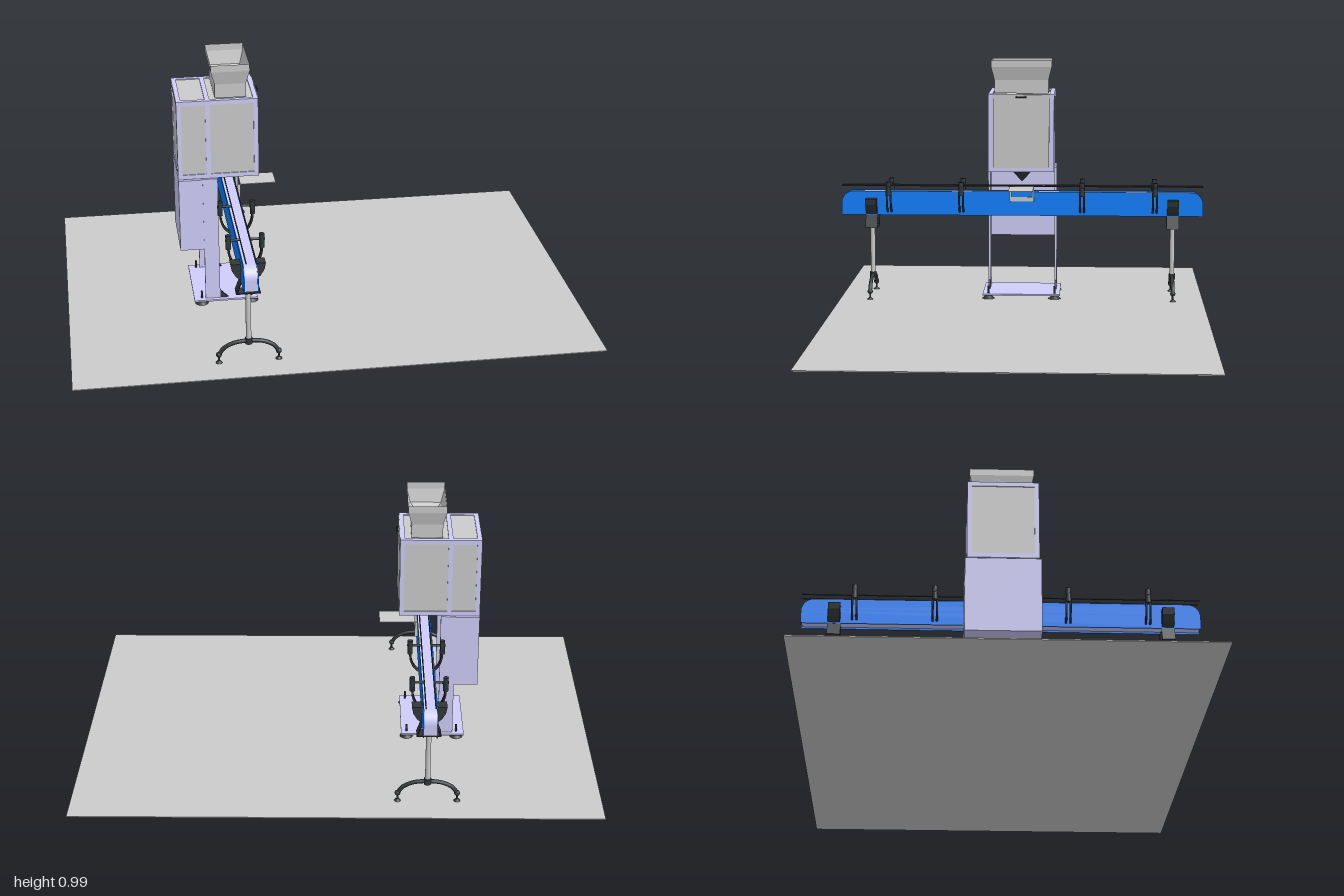
import * as THREE from 'three';

const mat = (color) => new THREE.MeshStandardMaterial({ color, side: THREE.DoubleSide });
const grey = mat(0xcccccc), lavender = mat(0xd0cefa), blue = mat(0x1080ff), black = mat(0x32383a);
const CX = -0.343; // conveyor centre line

function add(parent, name, geometry, material, x = 0, y = 0, z = 0) {
  const mesh = new THREE.Mesh(geometry, material);
  mesh.name = name;
  mesh.position.set(x, y, z);
  parent.add(mesh);
  return mesh;
}

// Box given by its limits on each axis
function block(parent, name, material, x0, x1, y0, y1, z0, z1) {
  return add(parent, name, new THREE.BoxGeometry(x1 - x0, y1 - y0, z1 - z0), material,
    (x0 + x1) / 2, (y0 + y1) / 2, (z0 + z1) / 2);
}

function rod(parent, name, material, r, a, b) {
  const path = new THREE.LineCurve3(new THREE.Vector3(...a), new THREE.Vector3(...b));
  const geometry = new THREE.CylinderGeometry(r, r, path.getLength(), 14);
  const mesh = add(parent, name, geometry, material);
  mesh.position.copy(path.getPoint(0.5));
  mesh.quaternion.setFromUnitVectors(new THREE.Vector3(0, 1, 0), path.getTangent(0));
  return mesh;
}

// Outline in x-y, extruded along z and centred on z
function slab(parent, name, material, points, depth, z) {
  const shape = new THREE.Shape(points.map((p) => new THREE.Vector2(...p)));
  const geometry = new THREE.ExtrudeGeometry(shape, { depth, bevelEnabled: false });
  return add(parent, name, geometry, material, 0, 0, z - depth / 2);
}

function group(parent, name) {
  const g = new THREE.Group();
  g.name = name;
  parent.add(g);
  return g;
}

// Rectangular rings [halfX, y, halfZ] joined by flat walls
function funnel(rings) {
  const pos = [];
  const corner = ([hx, y, hz], i) => [[hx, y, hz], [hx, y, -hz], [-hx, y, -hz], [-hx, y, hz]][i % 4];
  for (let r = 0; r < rings.length - 1; r++) {
    for (let i = 0; i < 4; i++) {
      const a = corner(rings[r], i), b = corner(rings[r], i + 1);
      const c = corner(rings[r + 1], i + 1), d = corner(rings[r + 1], i);
      pos.push(...a, ...c, ...b, ...a, ...d, ...c);
    }
  }
  const g = new THREE.BufferGeometry();
  g.setAttribute('position', new THREE.Float32BufferAttribute(pos, 3));
  g.computeVertexNormals();
  return g;
}

// Conveyor side outline: square below, rounded at the upper corners
function conveyorSide(half, y0, y1, r, width) {
  const s = new THREE.Shape();
  s.moveTo(-half, y0);
  s.lineTo(half, y0);
  s.lineTo(half, y1 - r);
  s.absarc(half - r, y1 - r, r, 0, Math.PI / 2, false);
  s.lineTo(-half + r, y1);
  s.absarc(-half + r, y1 - r, r, Math.PI / 2, Math.PI, false);
  s.closePath();
  return new THREE.ExtrudeGeometry(s, { depth: width, bevelEnabled: false, curveSegments: 16 })
    .translate(0, 0, -width / 2).rotateY(Math.PI / 2);
}

function buildStand(root) {
  const stand = group(root, 'stand');
  block(stand, 'basePlate', lavender, -0.505, -0.255, 0.018, 0.025, -0.16, 0.16);
  block(stand, 'controlBox', lavender, -0.553, -0.46, 0.24, 0.535, -0.142, 0.142);
  for (const s of [-1, 1]) {
    const z = s * 0.139;
    block(stand, 'column', lavender, -0.46, -0.402, 0.025, 0.538, z - 0.005, z + 0.005);
    slab(stand, 'gusset', black, [[-0.402, 0.025], [-0.37, 0.025], [-0.402, 0.058]], 0.008, z);
    for (const x of [-0.475, -0.277]) {
      add(stand, 'footPad', new THREE.CylinderGeometry(0.012, 0.027, 0.014, 20), black, x, 0.01, s * 0.137);
      rod(stand, 'footBolt', black, 0.004, [x, 0.01, s * 0.137], [x, 0.055, s * 0.137]);
    }
  }
}

function buildCabinet(root) {
  const cabinet = group(root, 'cabinet');
  const X0 = -0.553, X1 = -0.24, Y0 = 0.538, Y1 = 0.857, Z = 0.135, t = 0.018;
  block(cabinet, 'panels', grey, X0 + 0.004, X1 - 0.004, Y0 + 0.004, Y1 - 0.004, -Z + 0.004, Z - 0.004);
  block(cabinet, 'floorPlate', lavender, X0, X1, Y0, Y0 + 0.006, -Z, Z);
  // Frame edges and the middle dividers
  for (const s of [-1, 1]) {
    const z0 = s > 0 ? Z - t : -Z, z1 = z0 + t;
    for (const x of [X0, -0.443, X1 - t])
      block(cabinet, 'framePost', lavender, x, x + t, Y0, Y1, z0, z1);
    for (const y of [Y0, Y1 - t])
      block(cabinet, 'frameRail', lavender, X0, X1, y, y + t, z0, z1);
  }
  for (const y of [Y0, Y1 - t])
    for (const x of [X0, X1 - t])
      block(cabinet, 'frameCrossbar', lavender, x, x + t, y, y + t, -Z, Z);
  block(cabinet, 'topDivider', lavender, -0.443, -0.425, Y1 - t, Y1, -Z, Z);
  block(cabinet, 'door', grey, X1 - 0.004, X1 + 0.003, 0.555, 0.855, -0.115, 0.115);
  rod(cabinet, 'doorHandle', black, 0.003, [X1 + 0.01, 0.846, -0.022], [X1 + 0.01, 0.846, 0.022]);
  for (const z of [-0.02, 0.02])
    rod(cabinet, 'handleMount', black, 0.003, [X1, 0.846, z], [X1 + 0.01, 0.846, z]);

  // Open hopper above, discharge cone below
  add(cabinet, 'hopper', funnel([[0.074, 0.992, 0.124], [0.074, 0.965, 0.124],
    [0.06, 0.912, 0.111], [0.06, 0.857, 0.111]]), grey, CX);
  add(cabinet, 'hopperFunnel', funnel([[0.06, 0.912, 0.111], [0, 0.86, 0]]), grey, CX);
  const cone = add(cabinet, 'dischargeCone', new THREE.ConeGeometry(0.05, 0.053, 32), black, CX, 0.512);
  cone.rotation.x = Math.PI;
}

function buildConveyor(root) {
  const conveyor = group(root, 'conveyor');
  add(conveyor, 'belt', conveyorSide(0.747, 0.352, 0.441, 0.047, 0.046), lavender, CX);
  for (const s of [-1, 1]) {
    add(conveyor, 'sidePlate', conveyorSide(0.75, 0.345, 0.445, 0.05, 0.004), blue, CX + s * 0.025);
    rod(conveyor, 'guideRail', black, 0.0025, [CX + s * 0.018, 0.467, -0.75], [CX + s * 0.018, 0.467, 0.75]);
    // Curved guide rail brackets
    for (const z of [-0.55, -0.25, 0.25, 0.55]) {
      const at = (dx, y) => new THREE.Vector3(CX + s * dx, y, z);
      const arm = new THREE.CatmullRomCurve3([at(0.028, 0.36), at(0.046, 0.378), at(0.059, 0.41), at(0.062, 0.45)]);
      for (const dz of [-0.008, 0.008])
        add(conveyor, 'bracketArm', new THREE.TubeGeometry(arm, 12, 0.004, 8), black, 0, 0, dz);
      rod(conveyor, 'bracketHead', black, 0.01, [CX + s * 0.062, 0.432, z], [CX + s * 0.062, 0.488, z]);
      rod(conveyor, 'bracketRod', black, 0.005, [CX + s * 0.073, 0.467, z], [CX + s * 0.018, 0.467, z]);
    }
  }

  // Side tray with its upright U-shaped holder
  block(conveyor, 'tray', grey, -0.305, -0.165, 0.465, 0.468, -0.05, 0.05);
  block(conveyor, 'trayHolderBase', grey, -0.316, -0.311, 0.405, 0.423, -0.05, 0.05);
  for (const s of [-1, 1])
    block(conveyor, 'trayHolderSide', grey, -0.316, -0.305, 0.405, 0.466, s * 0.046 - 0.004, s * 0.046 + 0.004);
}

function buildSupport(root, z) {
  const support = group(root, 'conveyorSupport');
  support.position.set(CX, 0, z);
  for (const s of [-1, 1]) {
    // Clamp jaw and the sloping skirt beneath it
    slab(support, 'clampJaw', black, [[s * 0.027, 0.35], [s * 0.045, 0.365], [s * 0.06, 0.39],
      [s * 0.065, 0.415], [s * 0.027, 0.415]], 0.046, 0);
    slab(support, 'clampSkirt', black, [[s * 0.02, 0.352], [s * 0.024, 0.352],
      [s * 0.046, 0.293], [s * 0.042, 0.293]], 0.05, 0);
    const x = s * 0.112;
    add(support, 'footPad', new THREE.CylinderGeometry(0.005, 0.013, 0.009, 16), black, x, 0.008, 0);
    rod(support, 'footStem', black, 0.004, [x, 0.008, 0], [x, 0.045, 0]);
    add(support, 'footKnuckle', new THREE.SphereGeometry(0.011, 14, 10), black, x, 0.037, 0);
  }
  block(support, 'clampBase', black, -0.044, 0.044, 0.293, 0.297, -0.025, 0.025);
  rod(support, 'pole', grey, 0.01, [0, 0.085, 0], [0, 0.295, 0]);
  rod(support, 'poleSocket', black, 0.014, [0, 0.077, 0], [0, 0.1, 0]);
  const arch = new THREE.CatmullRomCurve3([[-0.112, 0.037], [-0.093, 0.063], [-0.055, 0.082], [0, 0.088],
    [0.055, 0.082], [0.093, 0.063], [0.112, 0.037]].map(([x, y]) => new THREE.Vector3(x, y, 0)));
  add(support, 'archedLeg', new THREE.TubeGeometry(arch, 32, 0.008, 10), black);
}

export function createModel() {
  const root = new THREE.Group();
  root.name = 'fillingStation';
  block(root, 'floor', grey, -1, 1, 0, 0.004, -0.75, 0.75);
  buildStand(root);
  buildCabinet(root);
  buildConveyor(root);
  for (const z of [-0.625, 0.625]) buildSupport(root, z);
  return root;
}
